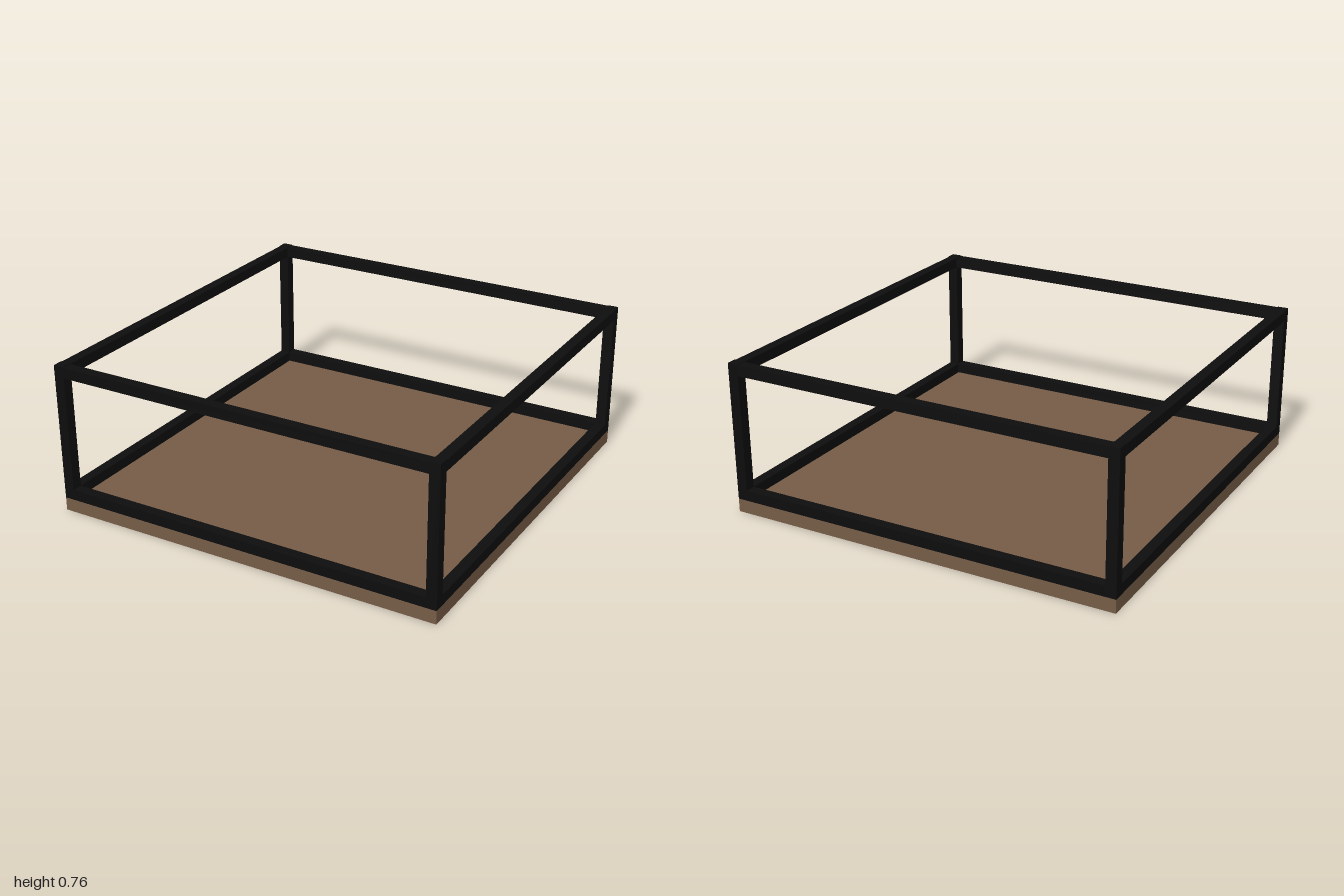
import * as THREE from 'three';

export function createModel() {
  const group = new THREE.Group();
  const wood = new THREE.MeshStandardMaterial({ color: 0x755b46 });
  wood.name = 'brown wood';
  const metal = new THREE.MeshStandardMaterial({ color: 0x0d0d0d });
  metal.name = 'black metal';

  const box = (name, material, size, position) => {
    const mesh = new THREE.Mesh(new THREE.BoxGeometry(...size), material);
    mesh.name = name;
    mesh.position.set(...position);
    group.add(mesh);
  };

  const bar = 0.053; // square tube width
  const slab = 0.067; // base panel thickness
  const height = 0.762;
  const edge = 1 - bar / 2;
  const span = 2 - 2 * bar;

  // Base panel
  box('basePanel', wood, [2, slab, 2], [0, slab / 2, 0]);

  // Corner posts
  for (const x of [-edge, edge]) {
    for (const z of [-edge, edge]) {
      box('cornerPost', metal, [bar, height - slab, bar], [x, (height + slab) / 2, z]);
    }
  }

  // Lower and upper rails between the posts
  const levels = [['lower', slab + bar / 2], ['upper', height - 0.003 - bar / 2]];
  for (const [level, y] of levels) {
    for (const side of [-edge, edge]) {
      box(level + (side > 0 ? 'FrontRail' : 'BackRail'), metal, [span, bar, bar], [0, y, side]);
      box(level + (side > 0 ? 'LeftRail' : 'RightRail'), metal, [bar, bar, span], [side, y, 0]);
    }
  }
  return group;
}
